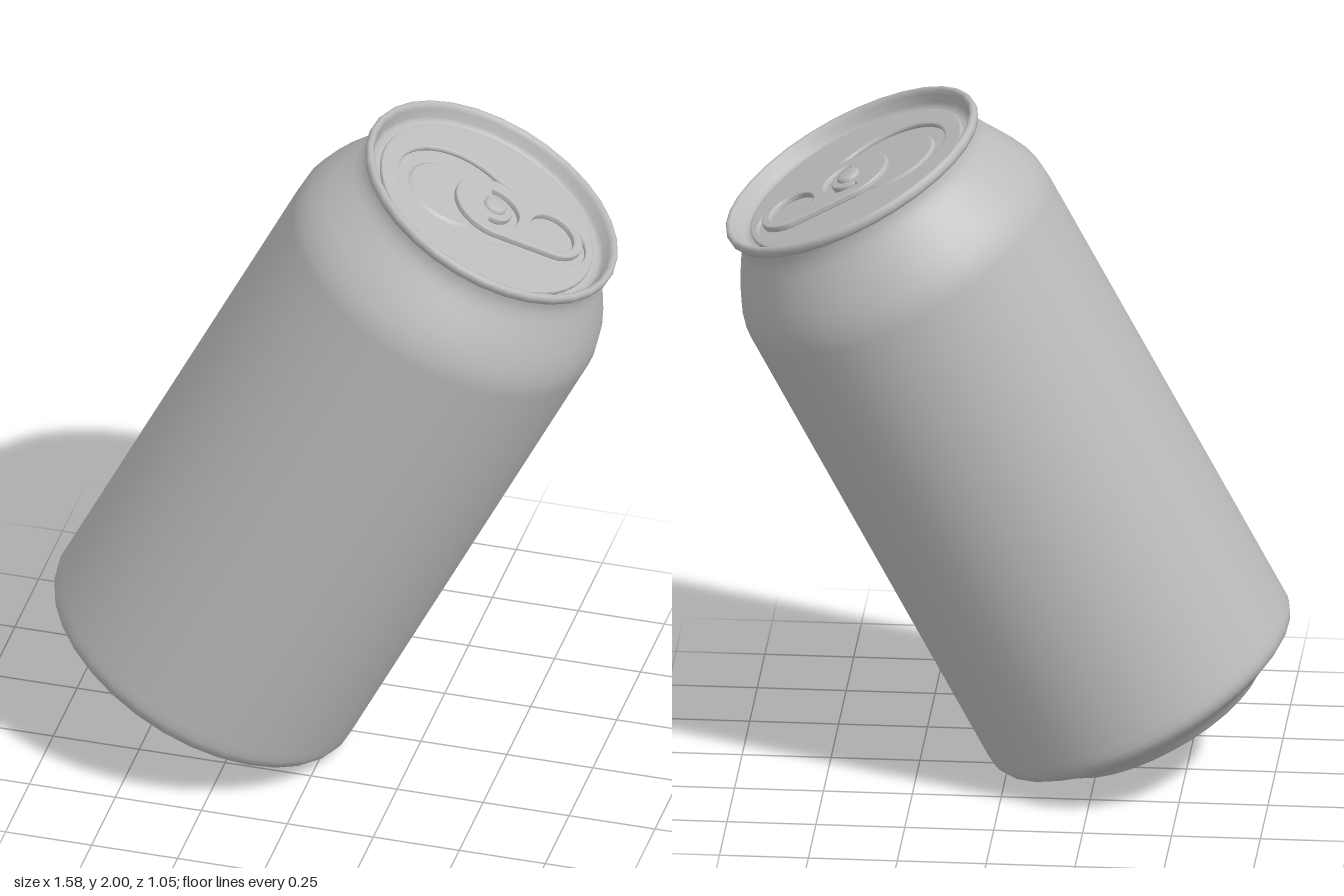
import * as THREE from 'three';

const TOP = 1.885; // can height along its own axis

export function createModel() {
  const aluminium = new THREE.MeshStandardMaterial({ color: 0xbcbcbc });
  aluminium.name = 'aluminium';

  const can = new THREE.Group();
  can.name = 'can';
  const add = (name, geometry, x = 0, y = 0) => {
    const mesh = new THREE.Mesh(geometry, aluminium);
    mesh.name = name;
    mesh.position.set(x, y, 0);
    can.add(mesh);
    return mesh;
  };
  const lathe = (pts) =>
    new THREE.LatheGeometry(pts.map(([r, y]) => new THREE.Vector2(r, y)), 32);
  // Flat plate lying in the lid plane, with its underside at y = 0
  const plate = (shape, depth, bevel) => {
    const g = new THREE.ExtrudeGeometry(shape, {
      depth: depth - 2 * bevel, bevelEnabled: true, bevelSize: bevel,
      bevelThickness: bevel, bevelOffset: -bevel, bevelSegments: 2, curveSegments: 24,
    });
    return g.translate(0, 0, bevel).rotateX(-Math.PI / 2);
  };

  // Domed base and standing ring
  add('base', lathe([
    [0, 0.1], [0.1, 0.094], [0.19, 0.073], [0.25, 0.045], [0.28, 0.018],
    [0.295, 0.003], [0.308, 0], [0.322, 0.003], [0.338, 0.014], [0.355, 0.035],
    [0.4, 0.054], [0.45, 0.083],
  ]));

  // Straight wall, shoulder and neck
  add('body', lathe([
    [0.45, 0.083], [0.463, 0.093], [0.472, 0.108], [0.476, 0.125], [0.476, 0.15],
    [0.476, 0.85], [0.476, 1.57], [0.474, 1.605], [0.463, 1.65], [0.441, 1.7],
    [0.416, 1.745], [0.393, 1.785], [0.38, 1.81], [0.376, 1.835], [0.378, 1.85],
  ]));

  // Seamed rim with the countersunk lid floor
  add('rim', lathe([
    [0.376, 1.848], [0.389, 1.852], [0.395, 1.862], [0.396, 1.872], [0.393, 1.881],
    [0.385, TOP], [0.377, 1.881], [0.372, 1.87], [0.366, 1.845], [0.358, 1.834],
    [0.345, 1.832],
  ]));
  add('lidFloor', lathe([[0.346, 1.832], [0, 1.832]]));

  // Raised lid panel with a keyhole-shaped recess
  const panel = new THREE.Shape().absarc(0, 0, 0.335, 0, Math.PI * 2);
  const recess = new THREE.Path();
  const join = 1.08;
  const jx = -0.09 + 0.19 * Math.cos(join), jy = 0.19 * Math.sin(join);
  recess.absarc(0.195, 0, 0.115, -Math.PI / 2, Math.PI / 2);
  recess.lineTo(0.1, 0.132);
  recess.quadraticCurveTo(0.04, 0.138, jx, jy);
  recess.absarc(-0.09, 0, 0.19, join, Math.PI * 2 - join);
  recess.quadraticCurveTo(0.04, -0.138, 0.1, -0.132);
  recess.closePath();
  panel.holes.push(recess);
  add('lidPanel', plate(panel, 0.016, 0.006), 0, 1.831);

  // Mouth opening panel
  add('mouthPanel', new THREE.CylinderGeometry(0.12, 0.13, 0.007, 32), -0.115, 1.835);

  // Pull tab: rounded outline, finger hole and curved slot around the rivet
  const x1 = 0.015, r1 = 0.12, x2 = 0.195, r2 = 0.098;
  const a = Math.acos((r1 - r2) / (x2 - x1));
  const tab = new THREE.Shape();
  tab.absarc(x2, 0, r2, -a, a);
  tab.absarc(x1, 0, r1, a, Math.PI * 2 - a);
  tab.closePath();
  const fingerHole = new THREE.Path().absellipse(0.198, 0, 0.068, 0.076, 0, Math.PI * 2);
  const slot = new THREE.Path();
  slot.absarc(x1, 0, 0.078, -1.75, 1.75);
  slot.absarc(x1, 0, 0.056, 1.75, -1.75, true);
  slot.closePath();
  tab.holes.push(fingerHole, slot);
  add('pullTab', plate(tab, 0.02, 0.005), 0, 1.842);

  // Rivet
  add('rivet', lathe([
    [0.034, 0], [0.034, 0.007], [0.028, 0.012], [0.015, 0.014], [0, 0.014],
  ]), x1, 1.861);

  // Lean the can along its axis, with the tab pointing down the slope
  const axis = new THREE.Vector3(0.455, 0.8875, -0.072).normalize();
  const slope = new THREE.Vector3(1, -0.531, -0.23);
  slope.addScaledVector(axis, -slope.dot(axis)).normalize();
  const side = new THREE.Vector3().crossVectors(slope, axis);
  can.quaternion.setFromRotationMatrix(new THREE.Matrix4().makeBasis(slope, axis, side));
  can.position.set(-0.416, 0.151, 0.061);

  const model = new THREE.Group();
  model.name = 'tiltedCan';
  model.add(can);
  return model;
}
